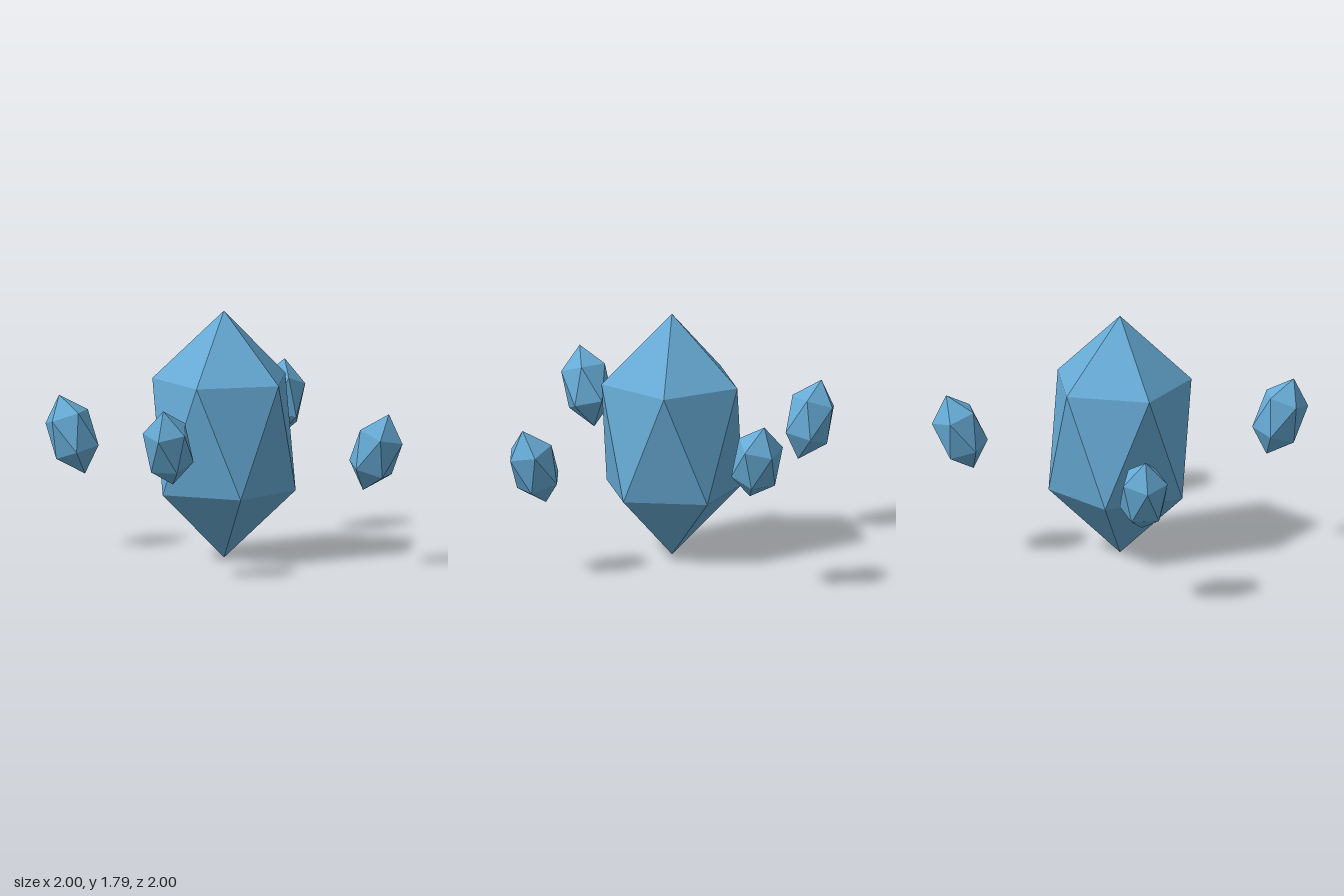
import * as THREE from 'three';

// Stretched icosahedron centred on the origin: two tips and two staggered five-sided rings
function crystalGeometry(halfHeight, ringRadius, turn) {
  const ringY = halfHeight / Math.sqrt(5);
  const ring = (y, offset) => Array.from({ length: 5 }, (_, i) => {
    const a = turn + offset + i * Math.PI * 0.4;
    return new THREE.Vector3(Math.sin(a) * ringRadius, y, Math.cos(a) * ringRadius);
  });
  const top = new THREE.Vector3(0, halfHeight, 0);
  const bottom = new THREE.Vector3(0, -halfHeight, 0);
  const upper = ring(ringY, 0);
  const lower = ring(-ringY, Math.PI / 5);
  const points = [];
  for (let i = 0; i < 5; i++) {
    const j = (i + 1) % 5;
    points.push(top, upper[i], upper[j]);
    points.push(upper[i], lower[i], upper[j]);
    points.push(lower[i], lower[j], upper[j]);
    points.push(lower[j], lower[i], bottom);
  }
  const geometry = new THREE.BufferGeometry().setFromPoints(points);
  geometry.computeVertexNormals();
  return geometry;
}

export function createModel() {
  const model = new THREE.Group();
  model.name = 'floatingCrystals';
  const material = new THREE.MeshStandardMaterial({ color: 0x66aad4, flatShading: true });

  // Large upright crystal in the middle
  const main = new THREE.Mesh(crystalGeometry(0.896, 0.515, THREE.MathUtils.degToRad(96.7)), material);
  main.name = 'mainCrystal';
  main.position.y = 0.896;
  model.add(main);

  // Four small shards on the diagonals, leaning outwards, at alternating heights
  const shardGeometry = crystalGeometry(0.297, 0.168, 0);
  for (let i = 0; i < 4; i++) {
    const arm = new THREE.Group();
    arm.name = `shardArm${i + 1}`;
    arm.rotation.y = Math.PI / 4 + i * Math.PI / 2;
    const shard = new THREE.Mesh(shardGeometry, material);
    shard.name = `shard${i + 1}`;
    shard.position.set(0, i % 2 ? 0.973 : 0.83, 1.16);
    shard.rotation.x = 0.34;
    arm.add(shard);
    model.add(arm);
  }
  return model;
}
